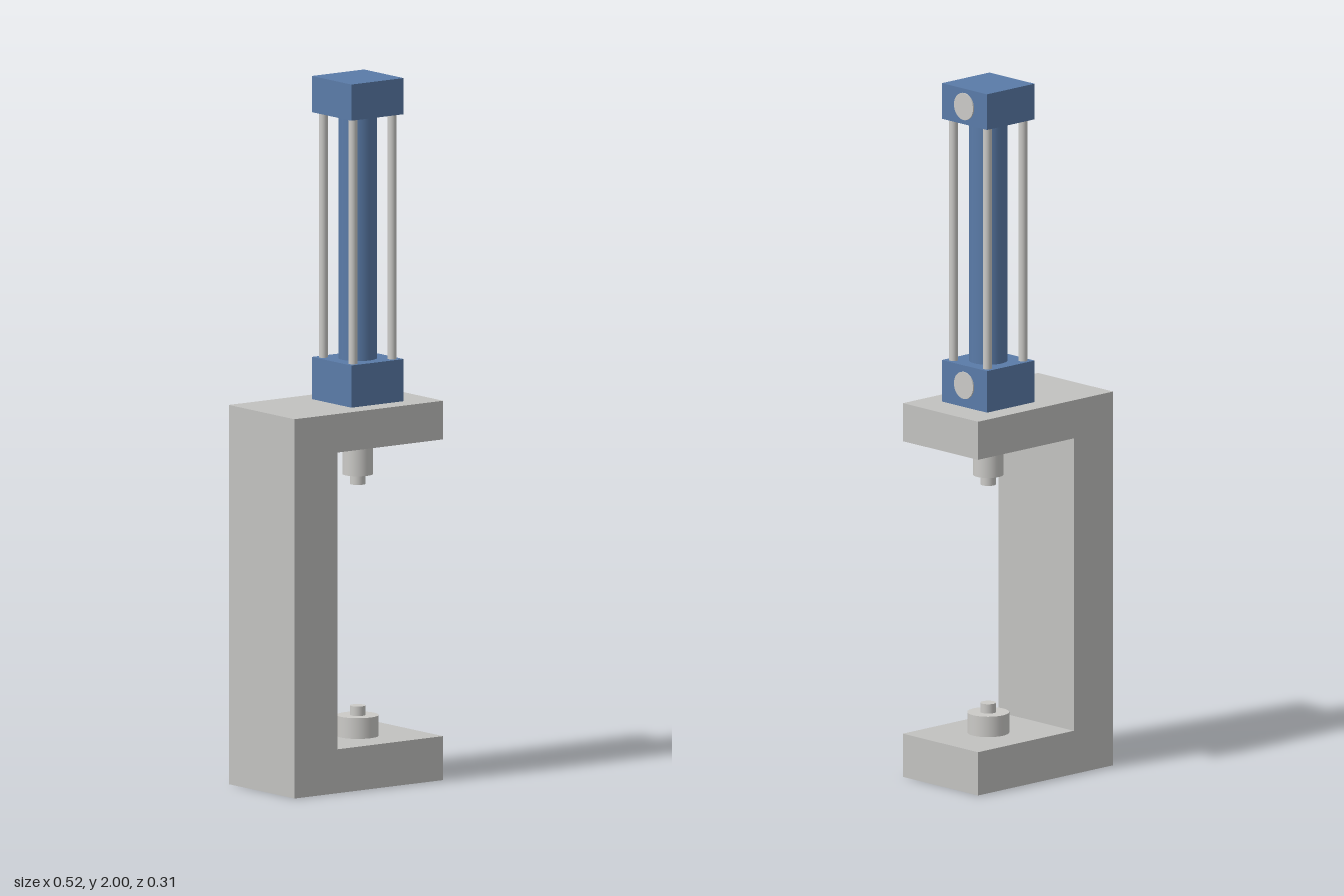
import * as THREE from 'three';

export function createModel() {
  const model = new THREE.Group();
  model.name = 'pneumaticPress';

  const material = (name, color) => {
    const m = new THREE.MeshStandardMaterial({ color });
    m.name = name;
    return m;
  };
  const frameGrey = material('frameGrey', 0xc2c2c0);
  const steel = material('steel', 0xcbcac7);
  const blue = material('blue', 0x5a7ba8);

  const axisX = 0.076; // shared axis of cylinder, ram and anvil

  const add = (name, geometry, mat, x, y, z = 0) => {
    const mesh = new THREE.Mesh(geometry, mat);
    mesh.name = name;
    mesh.position.set(x, y, z);
    model.add(mesh);
    return mesh;
  };
  // Upright round part between two heights
  const rod = (name, r, y0, y1, mat, x = axisX, z = 0) =>
    add(name, new THREE.CylinderGeometry(r, r, y1 - y0, 32), mat, x, (y0 + y1) / 2, z);

  // C-shaped frame
  const profile = new THREE.Shape([
    [-0.262, 0], [0.261, 0], [0.261, 0.125], [-0.11, 0.125],
    [-0.11, 0.97], [0.261, 0.97], [0.261, 1.08], [-0.262, 1.08],
  ].map(([x, y]) => new THREE.Vector2(x, y)));
  const depth = 0.306;
  const frame = new THREE.ExtrudeGeometry(profile, { depth, bevelEnabled: false });
  frame.translate(0, 0, -depth / 2);
  add('frame', frame, frameGrey, 0, 0);

  // Cylinder end caps, each with an air port on its left side
  for (const [label, y0, y1, portY] of [['lower', 1.08, 1.2, 1.143], ['upper', 1.897, 2, 1.949]]) {
    add(label + 'Cap', new THREE.BoxGeometry(0.184, y1 - y0, 0.184), blue, axisX, (y0 + y1) / 2);
    const port = new THREE.CylinderGeometry(0.039, 0.039, 0.014, 32).rotateZ(Math.PI / 2);
    add(label + 'Port', port, steel, 0.165, portY);
  }

  // Cylinder barrel and four tie rods
  rod('barrel', 0.054, 1.19, 1.905, blue);
  for (const sx of [-1, 1]) {
    for (const sz of [-1, 1]) {
      rod('tieRod', 0.0125, 1.19, 1.905, steel, axisX + sx * 0.069, sz * 0.069);
    }
  }

  // Ram below the upper arm
  rod('ramNeck', 0.035, 0.955, 0.975, steel);
  rod('ramBody', 0.043, 0.87, 0.96, steel);
  rod('ramTip', 0.022, 0.842, 0.872, steel);

  // Anvil on the lower arm
  rod('anvilBase', 0.059, 0.12, 0.184, steel);
  rod('anvilPin', 0.022, 0.18, 0.211, steel);

  return model;
}
